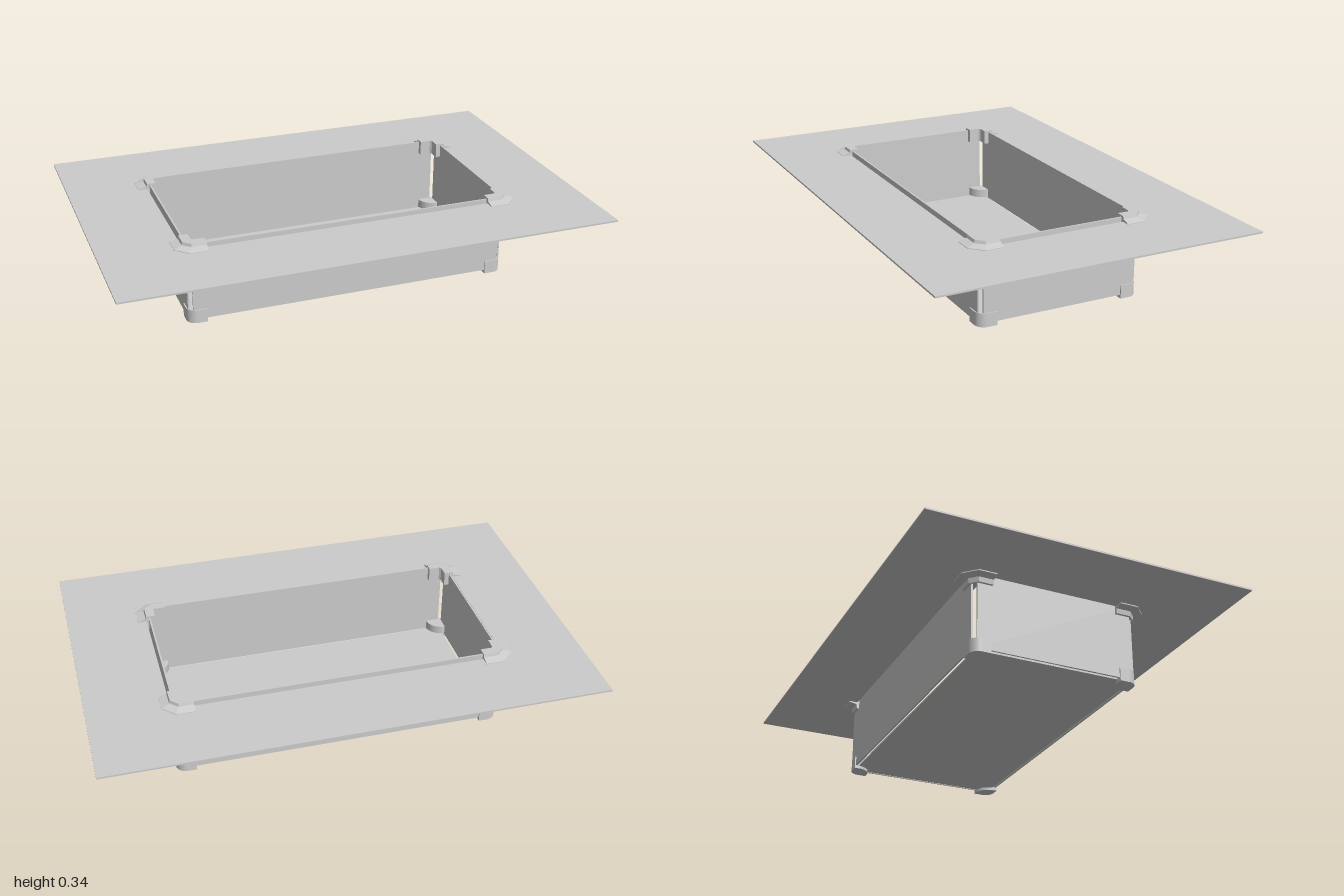
import * as THREE from 'three';

const material = new THREE.MeshStandardMaterial({ color: 0xcccccc, flatShading: true });
const smooth = new THREE.MeshStandardMaterial({ color: 0xcccccc });
const X = 0.65, Z = 0.325;        // half size of the floor
const THICK = 0.007;

function addBox(group, name, w, h, d, x, y, z) {
  const mesh = new THREE.Mesh(new THREE.BoxGeometry(w, h, d), material);
  mesh.name = name;
  mesh.position.set(x, y, z);
  group.add(mesh);
}

// Flat plate with a rectangular opening
function plateGeometry() {
  const rect = (path, x, z) => path.moveTo(-x, -z).lineTo(x, -z).lineTo(x, z).lineTo(-x, z).closePath();
  const shape = rect(new THREE.Shape(), 1, 0.671);
  shape.holes.push(rect(new THREE.Path(), 0.677, 0.35));
  const geo = new THREE.ExtrudeGeometry(shape, { depth: THICK, bevelEnabled: false });
  return geo.rotateX(Math.PI / 2).translate(0, 0.322, 0);
}

// Section (outward distance, height) swept round a corner with a mitred chamfer
function bracketGeometry() {
  const section = [[-0.01, 0.285], [0.027, 0.285], [0.03, 0.305], [0.063, 0.311],
    [0.063, 0.324], [0.03, 0.333], [0.027, 0.345], [-0.01, 0.345]];
  const end = -0.062, n = section.length;
  const pos = [], index = [];
  for (let i = 0; i < 4; i++) {
    for (const [d, y] of section) {
      const cut = d - (0.05 - (0.063 - d) * 0.586);
      const [x, z] = [[end, d], [cut, d], [d, cut], [d, end]][i];
      pos.push(x, y, z);
    }
  }
  for (let i = 0; i < 3; i++) {
    for (let j = 0; j < n; j++) {
      const k = (j + 1) % n;
      const a = i * n + j, b = i * n + k, c = a + n, d = b + n;
      index.push(a, c, d, a, d, b);
    }
  }
  const caps = THREE.ShapeUtils.triangulateShape(section.map(p => new THREE.Vector2(...p)), []);
  for (const [a, b, c] of caps) index.push(a, b, c, 3 * n + a, 3 * n + c, 3 * n + b);
  const geo = new THREE.BufferGeometry();
  geo.setAttribute('position', new THREE.Float32BufferAttribute(pos, 3));
  geo.setIndex(index);
  const flat = geo.toNonIndexed();
  flat.computeVertexNormals();
  return flat;
}

// Foot block: rounded outer corner, bowed inner side
function footGeometry() {
  const o = 0.022, e = -0.055, r = 0.04;
  const shape = new THREE.Shape();
  shape.moveTo(o, e).lineTo(o, o - r);
  shape.absarc(o - r, o - r, r, 0, Math.PI / 2, false);
  shape.lineTo(e, o).lineTo(e, -0.005);
  shape.quadraticCurveTo(-0.045, -0.045, -0.005, e);
  shape.closePath();
  const geo = new THREE.ExtrudeGeometry(shape, { depth: 0.055, bevelEnabled: false, curveSegments: 10 });
  return geo.rotateX(Math.PI / 2).translate(0, 0.055, 0);
}

export function createModel() {
  const model = new THREE.Group();
  model.name = 'trayWithCornerBrackets';

  const plate = new THREE.Mesh(plateGeometry(), material);
  plate.name = 'topPlate';
  model.add(plate);

  addBox(model, 'floor', 2 * X, THICK, 2 * Z, 0, 0.016, 0);

  // Four separate walls, open at the corners
  const h = 0.323, y = 0.0145 + h / 2, out = 0.0135;
  addBox(model, 'frontWall', 2 * X, h, THICK, 0, y, Z + out);
  addBox(model, 'backWall', 2 * X, h, THICK, 0, y, -Z - out);
  addBox(model, 'leftWall', THICK, h, 2 * Z, X + out, y, 0);
  addBox(model, 'rightWall', THICK, h, 2 * Z, -X - out, y, 0);

  // Brackets and feet at the four corners
  const bracketGeo = bracketGeometry(), footGeo = footGeometry();
  const corners = [['frontLeft', 1, 1], ['backLeft', 1, -1], ['backRight', -1, -1], ['frontRight', -1, 1]];
  corners.forEach(([name, sx, sz], i) => {
    const corner = new THREE.Group();
    corner.name = name + 'Corner';
    const bracket = new THREE.Mesh(bracketGeo, material);
    bracket.name = 'topBracket';
    const foot = new THREE.Mesh(footGeo, smooth);
    foot.name = 'foot';
    corner.add(bracket, foot);
    corner.position.set(sx * X, 0, sz * Z);
    corner.rotation.y = i * Math.PI / 2;
    model.add(corner);
  });
  return model;
}
